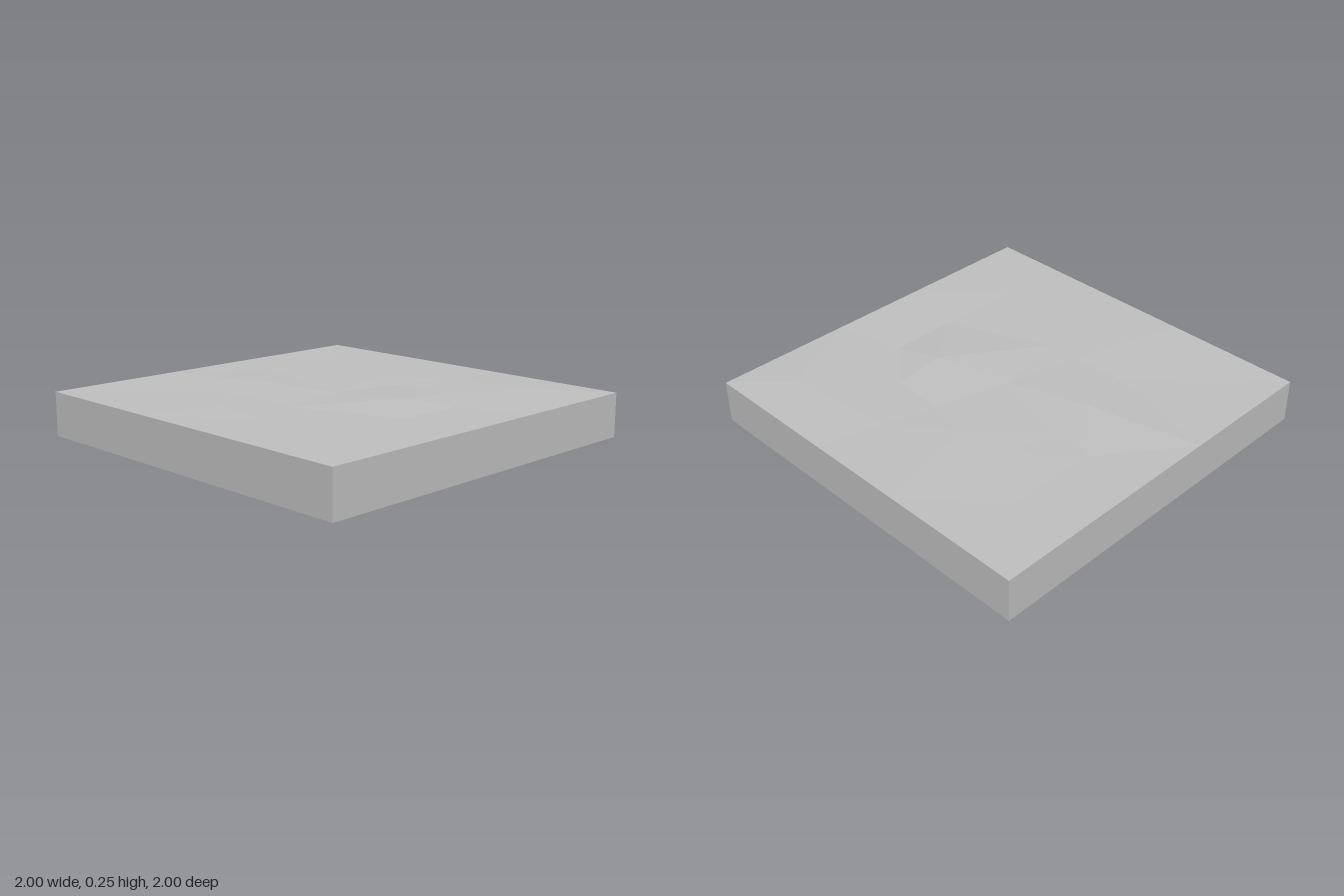
import * as THREE from 'three';
import { ConvexGeometry } from 'three/addons/geometries/ConvexGeometry.js';

const RIM = 0.23;

// Uneven top: [x, z, rise above the rim]
const bumps = [
  [0, 0, 0], [0.4, -0.11, 0.015], [0.38, -0.38, 0], [0.63, -0.18, -0.004], [0.63, 0.17, -0.004],
  [-0.43, 0.12, 0.014], [-0.68, -0.17, 0], [-0.47, -0.13, 0], [-0.67, 0.67, -0.007],
  [-0.4, 0.42, 0], [-0.1, 0.39, 0.002], [0.08, 0.4, 0], [-0.15, 0.62, 0.004],
  [0.2, 0.67, 0], [0.62, 0.64, -0.003], [-0.4, -0.41, 0], [-0.67, -0.66, -0.003],
  [-0.2, -0.75, 0.001], [-0.13, -0.45, 0.002], [0.1, -0.4, -0.003], [0.18, -0.67, 0],
  [0.75, -0.76, 0.01],
];

// Delaunay triangulation: the underside of the points' hull once lifted onto a paraboloid
function facetedSurface(points) {
  const heights = new Map(points.map(([x, z, h]) => [x + ',' + z, RIM + h]));
  const lifted = points.map(([x, z]) => new THREE.Vector3(x, x * x + z * z, z));
  const hull = new ConvexGeometry(lifted).attributes.position;
  const out = [];
  for (let i = 0; i < hull.count; i += 3) {
    const [a, b, c] = [0, 1, 2].map(k => new THREE.Vector3(
      Math.round(hull.getX(i + k) * 100) / 100, 0, Math.round(hull.getZ(i + k) * 100) / 100));
    const up = (b.z - a.z) * (c.x - a.x) - (b.x - a.x) * (c.z - a.z);
    if (up > -1e-6) continue;
    for (const p of [a, c, b]) out.push(p.x, heights.get((p.x || 0) + ',' + (p.z || 0)), p.z);
  }
  const g = new THREE.BufferGeometry();
  g.setAttribute('position', new THREE.Float32BufferAttribute(out, 3));
  g.computeVertexNormals();
  return g;
}

export function createModel() {
  const group = new THREE.Group();
  group.name = 'stoneSlab';
  const stone = new THREE.MeshStandardMaterial({ color: 0xc0c0c0 });
  stone.name = 'stone grey';

  // Sides and underside: a box without its top face
  const box = new THREE.BoxGeometry(2, RIM, 2);
  box.setIndex([...box.index.array].filter((_, i) => i < 12 || i >= 18));
  box.clearGroups();
  box.translate(0, RIM / 2, 0);
  const base = new THREE.Mesh(box, stone);
  base.name = 'slabBase';
  group.add(base);

  // Level rim with three segments per edge
  const rim = [];
  for (const s of [-1, 1]) {
    for (const t of [-1, -0.27, 0.27, 1]) rim.push([t, s, 0]);
    for (const t of [-0.27, 0.27]) rim.push([s, t, 0]);
  }
  const top = new THREE.Mesh(facetedSurface([...bumps, ...rim]), stone);
  top.name = 'unevenTop';
  group.add(top);
  return group;
}
